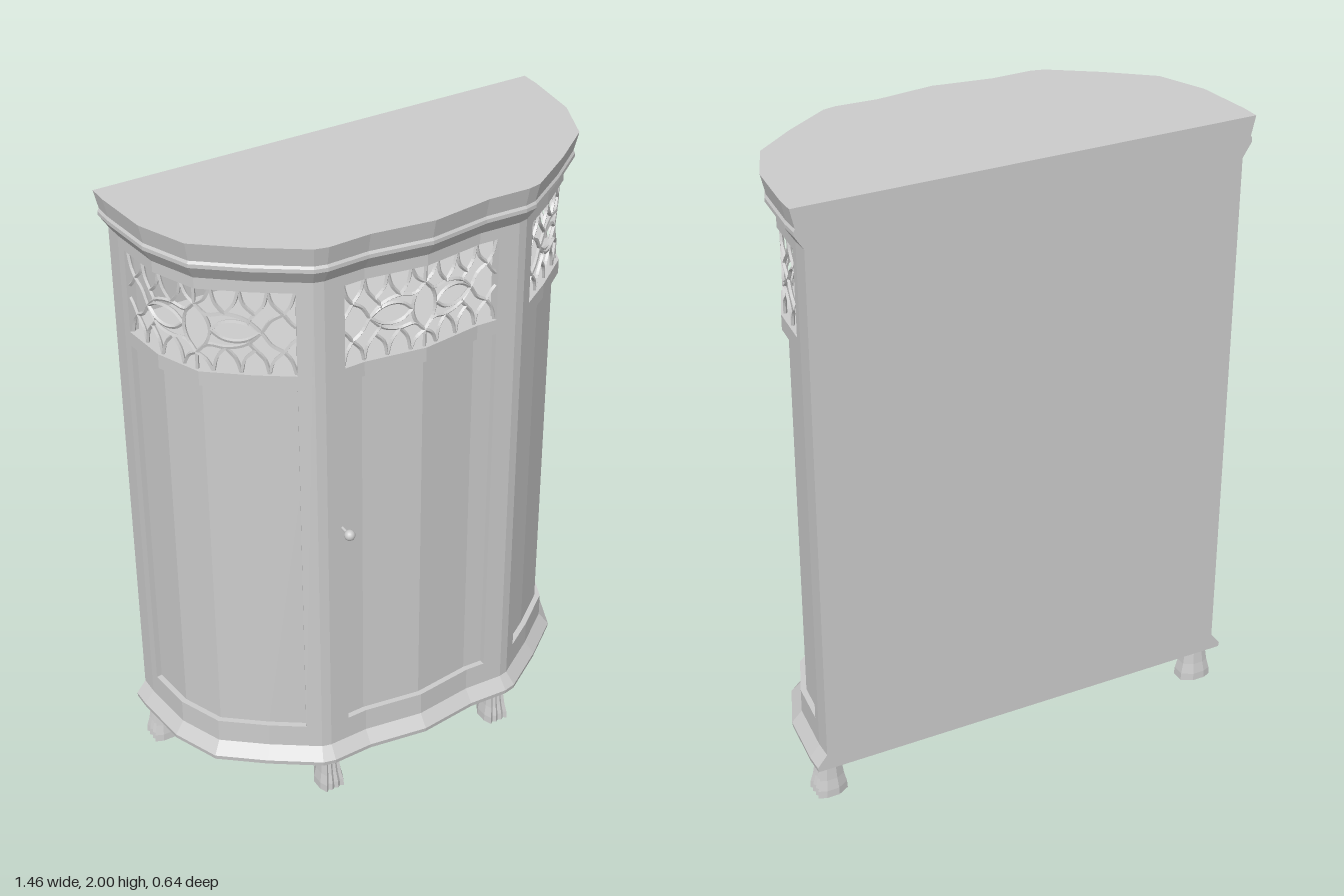
import * as THREE from 'three';
import { mergeGeometries } from 'three/addons/utils/BufferGeometryUtils.js';

const material = new THREE.MeshStandardMaterial({ color: 0xcccccc, flatShading: true, side: THREE.DoubleSide });
const smooth = new THREE.MeshStandardMaterial({ color: 0xcccccc });

// Plan of the bowed front as [x, z], from the left back corner round to the right one
const half = [[0.69, -0.32], [0.69, -0.26], [0.672, -0.08], [0.615, 0.06], [0.49, 0.16],
  [0.35, 0.255], [0.32, 0.262], [0.19, 0.257], [0, 0.283]];
const plan = [...half, ...half.slice(0, -1).reverse().map(([x, z]) => [-x, z])];

const edgeNormal = (a, b) => {
  const dx = b[0] - a[0], dz = b[1] - a[1], l = Math.hypot(dx, dz);
  return [dz / l, -dx / l];
};

// Plan moved outwards by d with mitred corners
function offsetPlan(d) {
  return plan.map((p, i) => {
    const n = edgeNormal(plan[Math.max(i - 1, 0)], plan[Math.max(i, 1)]);
    const m = i < plan.length - 1 ? edgeNormal(p, plan[i + 1]) : n;
    const k = d / (1 + n[0] * m[0] + n[1] * m[1]);
    return [p[0] + (n[0] + m[0]) * k, p[1] + (n[1] + m[1]) * k];
  });
}

// Stretch of the plan between two fractional corner numbers
function stretch(t0, t1, d) {
  const pts = offsetPlan(d);
  const at = (t) => {
    const i = Math.min(Math.floor(t), pts.length - 2), f = t - i;
    return [0, 1].map((k) => pts[i][k] + (pts[i + 1][k] - pts[i][k]) * f);
  };
  const out = [at(t0)];
  for (let i = Math.floor(t0) + 1; i < t1; i++) out.push(pts[i]);
  out.push(at(t1));
  return out;
}

// Solid through rings of { y, pts }, capped at both ends
function loft(rings) {
  const pos = [], idx = [], n = rings[0].pts.length;
  rings.forEach(({ y, pts }) => pts.forEach(([x, z]) => pos.push(x, y, z)));
  for (let r = 0; r < rings.length - 1; r++) {
    for (let i = 0; i < n; i++) {
      const a = r * n + i, b = r * n + (i + 1) % n;
      idx.push(a, a + n, b, b, a + n, b + n);
    }
  }
  [0, rings.length - 1].forEach((r) => {
    const pts = rings[r].pts;
    const tris = THREE.ShapeUtils.triangulateShape(pts.map(([x, z]) => new THREE.Vector2(x, z)), []);
    tris.forEach(([a, b, c]) => {
      const up = (pts[b][1] - pts[a][1]) * (pts[c][0] - pts[a][0])
        - (pts[b][0] - pts[a][0]) * (pts[c][1] - pts[a][1]) > 0;
      const order = up === (r > 0) ? [a, b, c] : [a, c, b];
      idx.push(...order.map((v) => v + r * n));
    });
  });
  const g = new THREE.BufferGeometry();
  g.setAttribute('position', new THREE.Float32BufferAttribute(pos, 3));
  g.setIndex(idx);
  const flat = g.toNonIndexed();
  flat.computeVertexNormals();
  return flat;
}

// Full-depth layer from [y, offset] steps
const layer = (...steps) => loft(steps.map(([y, d]) => ({ y, pts: offsetPlan(d) })));

// Upright post following the plan
function post(t0, t1, y0, y1) {
  const pts = [...stretch(t0, t1, 0), ...stretch(t0, t1, -0.03).reverse()];
  return loft([{ y: y0, pts }, { y: y1, pts }]);
}

// Pierced screen: curves in (u, v), u from the middle outwards, v upwards, bent round the plan
function fretwork(t0, t1) {
  const wall = new THREE.CurvePath();
  const pts = stretch(t0, t1, -0.012).map(([x, z]) => new THREE.Vector3(x, 0, z));
  for (let i = 0; i < pts.length - 1; i++) wall.add(new THREE.LineCurve3(pts[i], pts[i + 1]));
  const strokes = [
    [[0, 0.58], [0.11, 0.32], [0.15, 0], [0.11, -0.32], [0, -0.58]], // upright leaf
    [[0, 1], [0, 0.58]], [[0, -1], [0, -0.58]],
  ];
  [1, -1].forEach((s) => strokes.push(
    [[0.15, 0], [0.27, 0.19 * s], [0.4, 0.24 * s], [0.53, 0.18 * s], [0.66, 0]], // lying leaf
    [[0, 0.58 * s], [0.12, 0.36 * s], [0.3, 0.4 * s], [0.5, 0.3 * s], [0.66, 0], [0.76, -0.3 * s], [0.88, -0.45 * s]],
    [[0, 0.58 * s], [0.1, 0.72 * s], [0.17, s]],
    [[0.17, s], [0.21, 0.65 * s], [0.3, 0.4 * s]],
    [[0.3, 0.4 * s], [0.4, 0.66 * s], [0.45, s]],
    [[0.45, s], [0.49, 0.66 * s], [0.6, 0.42 * s]],
    [[0.6, 0.42 * s], [0.69, 0.66 * s], [0.73, s]],
    [[0.73, s], [0.77, 0.7 * s], [0.88, 0.45 * s]],
    [[0.88, 0.45 * s], [0.95, 0.65 * s], [1, s]],
    [[0.6, 0.42 * s], [0.55, 0.3 * s], [0.53, 0.18 * s]],
    [[0.88, 0.45 * s], [0.95, 0.25 * s], [1, 0.15 * s]],
  ));
  const tubes = [];
  [1, -1].forEach((side) => strokes.forEach((stroke) => {
    const line = stroke.map(([u, v]) => {
      const p = wall.getPoint(0.5 + 0.5 * u * side);
      return new THREE.Vector3(p.x, 1.705 + 0.135 * v, p.z);
    });
    tubes.push(new THREE.TubeGeometry(new THREE.CatmullRomCurve3(line), line.length * 3, 0.006, 4));
  }));
  return mergeGeometries(tubes);
}

// Foot with a fluted front, flaring to the floor
function footGeometry() {
  const section = [[1, -0.3], [1, 0.5], [0.75, 1], [0.5, 0.85], [0.25, 1], [0, 0.85], [-0.25, 1],
    [-0.5, 0.85], [-0.75, 1], [-1, 0.5], [-1, -0.3], [-0.5, -1], [0.5, -1]];
  return loft([[0, 1], [0.025, 0.97], [0.06, 0.82], [0.1, 0.72], [0.135, 0.74]].map(([y, s]) => ({
    y, pts: section.map(([x, z]) => [x * 0.042 * s, z * 0.052 * s]),
  })));
}

export function createModel() {
  const group = new THREE.Group();
  const add = (name, geometry, x = 0, y = 0, z = 0, mat = material) => {
    const mesh = new THREE.Mesh(geometry, mat);
    mesh.name = name;
    mesh.position.set(x, y, z);
    group.add(mesh);
    return mesh;
  };

  // Carcass
  add('base', layer([0.13, 0.03], [0.145, 0.032], [0.185, 0], [0.265, 0]));
  add('recessedPanels', layer([0.265, -0.018], [1.525, -0.018]));
  add('middleRail', layer([1.525, 0], [1.572, 0]));
  add('crown', layer([1.84, 0], [1.875, 0], [1.92, 0.029], [1.932, 0.029], [1.94, 0.024], [2, 0.038]));
  add('backPanel', new THREE.BoxGeometry(1.38, 0.268, 0.012), 0, 1.706, -0.314);
  [[0, 1.17], [4.71, 6.5], [9.5, 11.29], [14.83, 16]].forEach(([a, b]) => add('stile', post(a, b, 0.265, 1.84)));

  // Pierced screens
  [['leftFretwork', 1.17, 4.71], ['frontFretwork', 6.5, 9.5], ['rightFretwork', 11.29, 14.83]]
    .forEach(([name, a, b]) => add(name, fretwork(a, b)));

  // Feet
  const foot = footGeometry();
  [1, -1].forEach((s) => {
    add('frontFoot', foot, 0.315 * s, 0, 0.223);
    add('backFoot', foot, 0.66 * s, 0, -0.255).rotation.y = s * Math.PI / 2;
  });

  // Door knob and latch
  add('knob', new THREE.SphereGeometry(0.017, 16, 12), -0.27, 1.02, 0.302, smooth);
  add('knobStem', new THREE.CylinderGeometry(0.005, 0.005, 0.05, 10), -0.27, 1.02, 0.275, smooth).rotation.x = Math.PI / 2;
  add('latch', new THREE.BoxGeometry(0.006, 0.09, 0.018), -0.258, 0.978, 0.25);
  return group;
}
